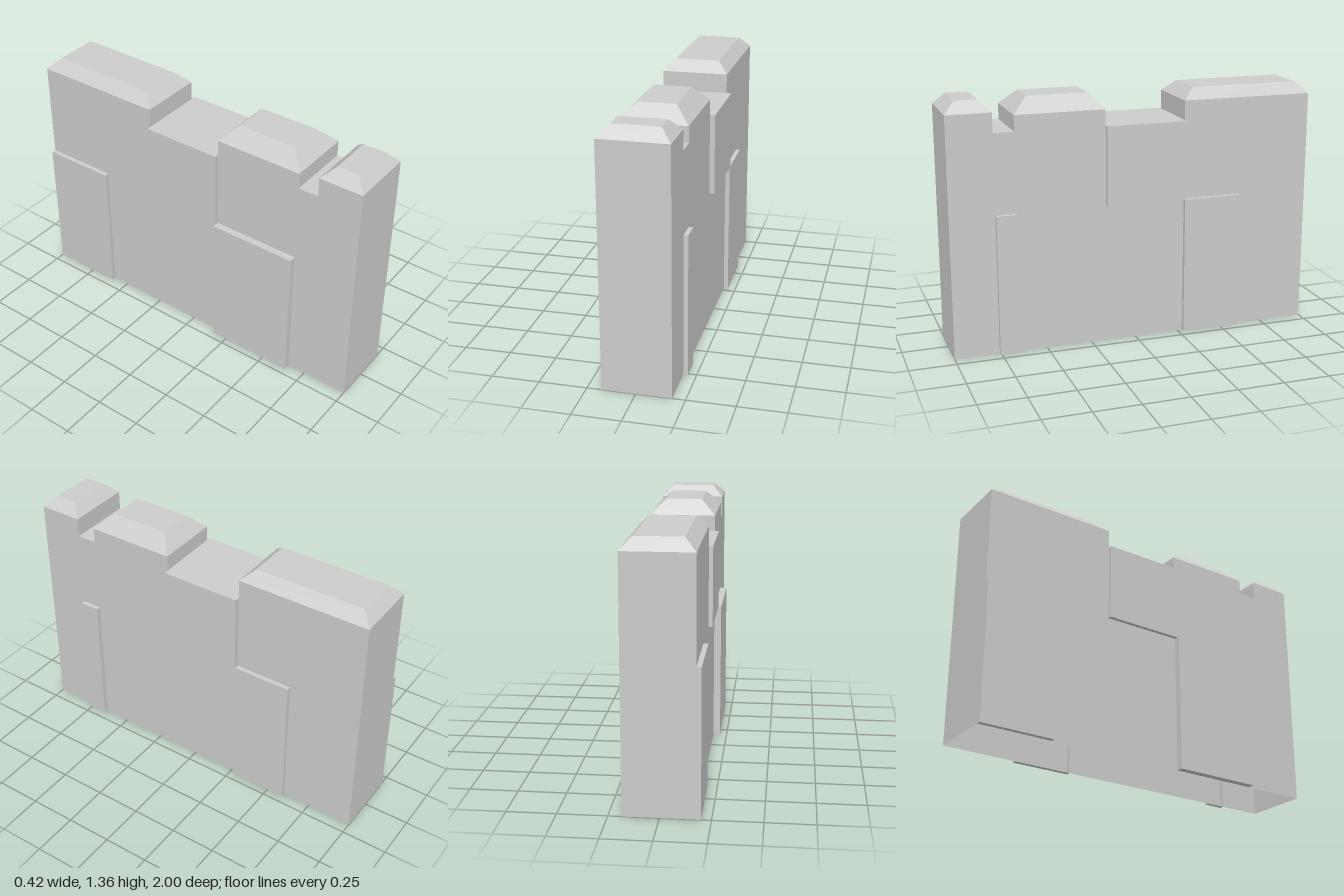
import * as THREE from 'three';

const LEFT = 0.183, RIGHT = -0.175; // plain wall planes at +x and -x
const LEDGE = 0.76, CAP = 1.355;

// Bays from front to back: z range, wall top, and the wall plane of the
// lower / upper storey on each side where it is pushed outwards.
const bays = [
  { z: [1, 0.76], top: 1.295 },
  { z: [0.76, 0.65], top: 1.19, posLow: 0.207 },
  { z: [0.65, 0.165], top: 1.275, negLow: -0.213 },
  { z: [0.165, -0.275], top: 1.19, posUp: 0.21, negUp: -0.197 },
  { z: [-0.275, -0.595], top: 1.295, posLow: 0.207 },
  { z: [-0.595, -1], top: 1.295, negLow: -0.2 },
];

// Bevelled roofs: base z range, base height, top z range, top x range
const roofs = [
  { z: [1, 0.76], y: 1.295, tz: [0.94, 0.82], tx: [-0.117, 0.125] },
  { z: [0.65, 0.165], y: 1.275, tz: [0.565, 0.24], tx: [-0.095, 0.103] },
  { z: [-0.275, -1], y: 1.295, tz: [-0.34, -0.94], tx: [-0.117, 0.125] },
];

export function createModel() {
  const group = new THREE.Group();
  const material = new THREE.MeshStandardMaterial({
    color: 0xcccccc, flatShading: true, side: THREE.DoubleSide,
  });

  // A part is a list of quads, each turned to face its outward direction
  function part(name, quads) {
    const pos = [];
    for (const [corners, out] of quads) {
      let [a, b, c, d] = corners.map((p) => new THREE.Vector3(...p));
      const n = c.clone().sub(a).cross(d.clone().sub(b));
      if (n.dot(new THREE.Vector3(...out)) < 0) [b, d] = [d, b];
      for (const v of [a, b, c, a, c, d]) pos.push(v.x, v.y, v.z);
    }
    const geo = new THREE.BufferGeometry();
    geo.setAttribute('position', new THREE.Float32BufferAttribute(pos, 3));
    geo.computeVertexNormals();
    const mesh = new THREE.Mesh(geo, material);
    mesh.name = name;
    group.add(mesh);
  }
  const faceX = (x, y0, y1, z0, z1, s) =>
    [[[x, y0, z0], [x, y0, z1], [x, y1, z1], [x, y1, z0]], [s, 0, 0]];
  const faceY = (y, x0, x1, z0, z1, s) =>
    [[[x0, y, z0], [x1, y, z0], [x1, y, z1], [x0, y, z1]], [0, s, 0]];
  const faceZ = (z, x0, x1, y0, y1, s) =>
    [[[x0, y0, z], [x1, y0, z], [x1, y1, z], [x0, y1, z]], [0, 0, s]];

  // Side walls: each projecting panel is part of the hollow shell
  for (const [key, base, s, name] of [['pos', LEFT, 1, 'leftWall'], ['neg', RIGHT, -1, 'rightWall']]) {
    const quads = [];
    for (const bay of bays) {
      const [z0, z1] = bay.z;
      const low = bay[key + 'Low'] ?? base, up = bay[key + 'Up'] ?? base;
      quads.push(faceX(low, 0, LEDGE, z0, z1, s), faceX(up, LEDGE, bay.top, z0, z1, s));
      // Ledge between storeys and underside of lower panels
      if (low !== up) quads.push(faceY(LEDGE, low, up, z0, z1, (low - up) * s));
      if (low !== base) quads.push(faceY(0, base, low, z0, z1, -1));
      // Panel ends
      for (const [x, y0, y1] of [[low, 0, LEDGE], [up, LEDGE, bay.top]]) {
        if (x === base) continue;
        quads.push(faceZ(z0, base, x, y0, y1, 1), faceZ(z1, base, x, y0, y1, -1));
      }
    }
    part(name, quads);
  }

  // End walls
  part('frontWall', [faceZ(1, RIGHT, LEFT, 0, 1.295, 1)]);
  part('backWall', [faceZ(-1, RIGHT, LEFT, 0, 1.295, -1)]);

  // Low flat roofs in the two gaps, with the risers beside them
  for (const i of [1, 3]) {
    const { z: [z0, z1], top, posUp = LEFT, negUp = RIGHT } = bays[i];
    part(i === 1 ? 'notch' : 'middleRoof', [
      faceY(top, negUp, posUp, z0, z1, 1),
      faceZ(z0, RIGHT, LEFT, top, bays[i - 1].top, -1),
      faceZ(z1, RIGHT, LEFT, top, bays[i + 1].top, 1),
    ]);
  }

  // Bevelled roofs
  roofs.forEach(({ z, y, tz, tx }, k) => {
    const ring = (xs, h, zs) => [[xs[0], h, zs[0]], [xs[1], h, zs[0]], [xs[1], h, zs[1]], [xs[0], h, zs[1]]];
    const lower = ring([RIGHT, LEFT], y, z), upper = ring(tx, CAP, tz);
    const quads = [[upper, [0, 1, 0]]];
    for (let i = 0; i < 4; i++) {
      const j = (i + 1) % 4;
      quads.push([[lower[i], lower[j], upper[j], upper[i]], [0, 1, 0]]);
    }
    part(['frontRoof', 'centreRoof', 'backRoof'][k], quads);
  });

  return group;
}
